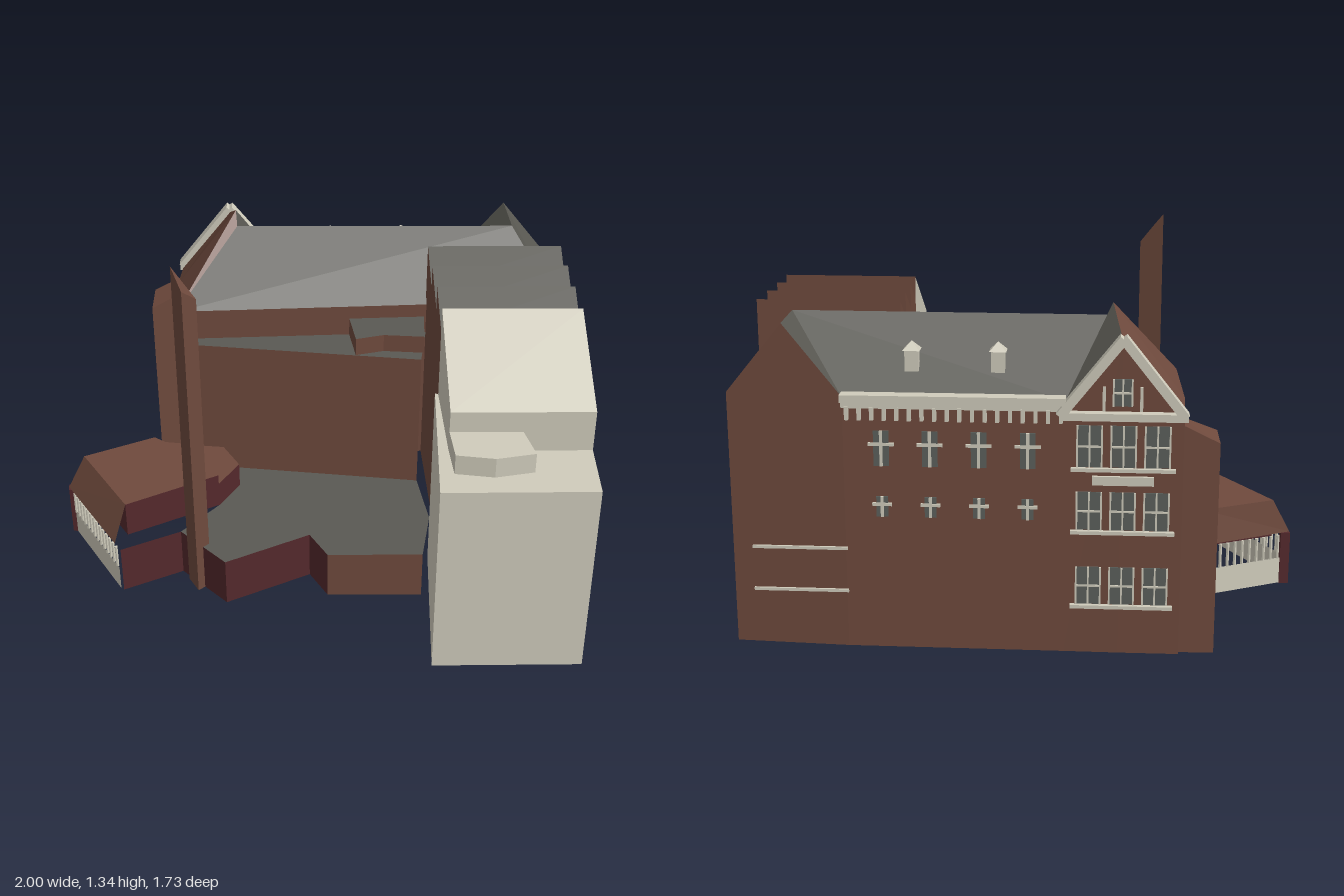
import * as THREE from 'three';

const mat = (name, hex) => {
  const m = new THREE.MeshStandardMaterial({ color: hex, side: THREE.DoubleSide, flatShading: true });
  m.name = name;
  return m;
};

export function createModel() {
  const brick = mat('brown brick', 0x6f4a3d);
  const cream = mat('cream stone', 0xd0ccbc);
  const slate = mat('grey slate', 0x5a5953);
  const red = mat('dark red brick', 0x54292c);
  const glass = mat('window glass', 0x5c605c);
  const model = new THREE.Group();

  const part = (name, geo, m, parent = model) => {
    const mesh = new THREE.Mesh(geo, m);
    mesh.name = name;
    parent.add(mesh);
    return mesh;
  };
  const fromTriangles = (pos) => {
    const g = new THREE.BufferGeometry();
    g.setAttribute('position', new THREE.Float32BufferAttribute(pos, 3));
    g.computeVertexNormals();
    return g;
  };
  // Walls along a plan line of [x, z, top]; base height y0
  const walls = (name, pts, y0, m) => {
    const pos = [];
    for (let i = 0; i < pts.length - 1; i++) {
      const [ax, az, at] = pts[i], [bx, bz, bt] = pts[i + 1];
      pos.push(ax, y0, az, bx, y0, bz, bx, bt, bz, ax, y0, az, bx, bt, bz, ax, at, az);
    }
    return part(name, fromTriangles(pos), m);
  };
  // Roof surface over a plan outline of [x, z, height], wound to face up
  const roof = (name, pts, m) => {
    let p = pts;
    const outline = (q) => q.map(([x, z]) => new THREE.Vector2(x, -z));
    if (THREE.ShapeUtils.isClockWise(outline(p))) p = [...p].reverse();
    const pos = [];
    for (const f of THREE.ShapeUtils.triangulateShape(outline(p), []))
      for (const i of f) pos.push(p[i][0], p[i][2], p[i][1]);
    return part(name, fromTriangles(pos), m);
  };
  const level = (pts, y) => pts.map(([x, z]) => [x, z, y]);
  const block = (name, pts, y0, y1, wallMat, roofMat) => {
    const p = level(pts, y1);
    walls(name + 'Walls', [...p, p[0]], y0, wallMat);
    roof(name + 'Roof', p, roofMat);
  };

  // Cream tower with low front step and sloping top
  const low = [[0.37, 0.17], [0.26, 0.78], [0.79, 0.85], [0.83, 0.61]];
  walls('towerLowWalls', level(low, 0.755), 0, cream);
  roof('towerTerrace', level([...low, [0.34, 0.54], [0.38, 0.18]], 0.755), cream);
  walls('towerRightWall', [[0.83, 0.61, 0.91], [0.87, 0.25, 1.11]], 0, cream);
  walls('towerUpperWalls', [[0.83, 0.61, 0.91], [0.34, 0.54, 0.91], [0.38, 0.18, 1.11]], 0.755, cream);
  walls('towerBackWall', [[0.38, 0.18, 1.11], [0.87, 0.25, 1.11]], 1.02, brick);
  roof('towerRoof', [[0.34, 0.54, 0.91], [0.83, 0.61, 0.91], [0.87, 0.25, 1.11], [0.38, 0.18, 1.11]], cream);
  block('roofBox', [[0.34, 0.54], [0.33, 0.68], [0.46, 0.72], [0.6, 0.71], [0.59, 0.575]], 0.755, 0.83, cream, cream);

  // Brown wing with sawtooth roof
  const right = (t, y) => [0.87 + 0.06 * t, 0.25 - 0.49 * t, y];
  const left = (t, y) => [0.38 + 0.05 * t, 0.18 - 0.49 * t, y];
  for (let i = 0; i < 3; i++) {
    const a = i / 3, b = (i + 1) / 3;
    walls('wingRightWall', [right(a, 1.02), right(b, 1.11)], 0, brick);
    walls('wingLeftWall', [left(a, 1.02), left(b, 1.11)], 0.19, brick);
    roof('sawtoothRoof', [right(a, 1.02), left(a, 1.02), left(b, 1.11), right(b, 1.11)], slate);
    walls('sawtoothFace', [right(b, 1.11), left(b, 1.11)], i < 2 ? 1.02 : 0.87, brick);
  }

  // Main hall: corners, ridge and gable points as [x, z, height]
  const E0 = [-0.53, -0.37, 0.87], E1 = [0.93, -0.24, 0.875], A = [1, -0.62, 0.875];
  const B = [0.81, -0.655, 1.11], C = [0.62, -0.69, 0.87], G = [-0.1, -0.785, 0.87];
  const Q = [-0.28, -0.81, 1.07], K = [-0.48, -0.835, 0.82], D = [-0.51, -0.66, 0.84];
  const R0 = [-0.27, -0.59, 1.11], R1 = [0.79, -0.44, 1.11], P = [-0.27, -0.63, 1.16];
  walls('hallWalls', [E1, A, B, C, G, Q, K, D, E0], 0, brick);
  walls('hallFrontWall', [E0, E1], 0.19, brick);
  roof('hallFrontRoof', [E0, E1, R1, R0], slate);
  roof('hallEndRoof', [E1, A, B], slate);
  roof('hallEndRoof', [E1, B, R1], slate);
  roof('hallBackRoof', [R1, B, C, G], slate);
  roof('hallBackRoof', [R1, G, R0], slate);
  roof('gableRightRoof', [G, Q, P], slate);
  roof('gableRightRoof', [G, P, R0], slate);
  roof('gableLeftRoof', [Q, K, D, P], brick);
  roof('leftEndRoof', [D, E0, P], brick);
  roof('leftEndRoof', [E0, R0, P], brick);

  // Corner stair tower
  const stair = [[-0.62, -0.67, 0.73], [-0.6, -0.83, 0.73], [-0.48, -0.82, 0.79], [-0.48, -0.69, 0.79]];
  walls('stairTowerWalls', [...stair, stair[0]], 0, brick);
  roof('stairTowerRoof', stair, brick);

  // Middle block in front of the hall
  const M0 = [-0.53, -0.33, 0.75], M1 = [0.37, -0.08, 0.75];
  walls('middleWall', [[-0.53, -0.37, 0.75], M0, M1], 0.19, brick);
  roof('middleRoof', [[-0.53, -0.37, 0.75], M0, M1, [0.43, -0.29, 0.75]], slate);
  block('middleStep', [[0.13, -0.31], [0.13, -0.15], [0.24, -0.165], [0.39, -0.13], [0.42, -0.29]], 0.75, 0.82, brick, slate);

  // Low podium
  const podium = [[-0.38, -0.29], [0.37, -0.08], [0.37, 0.17], [0.3, 0.39], [-0.05, 0.34], [-0.1, 0.21],
    [-0.43, 0.33], [-0.58, 0.12], [-0.42, -0.03], [-0.33, -0.15]];
  roof('podiumRoof', level(podium, 0.19), slate);
  walls('podiumFrontWall', level(podium.slice(3, 5), 0.19), 0, brick);
  walls('podiumWalls', level([...podium.slice(4), podium[0]], 0.19), 0, red);

  // Three-sided chimney with a slanted top
  const stack = [[-0.56, 0.17, 1.34], [-0.48, 0.21, 1.23], [-0.53, 0.245, 1.28]];
  walls('chimneyWalls', [...stack, stack[0]], 0, brick);
  roof('chimneyTop', stack, brick);

  // Pavilion: raised roof block, lean-to rim and garden walls
  block('pavilion', [[-0.93, -0.235], [-0.65, -0.33], [-0.61, -0.29], [-0.48, -0.25], [-0.42, -0.03], [-0.78, 0.11]], 0.19, 0.33, red, brick);
  block('pavilionPorch', [[-0.61, -0.29], [-0.53, -0.32], [-0.38, -0.28], [-0.33, -0.15], [-0.42, -0.03]], 0.19, 0.29, red, brick);
  roof('pavilionRim', [[-1, -0.22, 0.2], [-0.83, 0.17, 0.2], [-0.78, 0.11, 0.33], [-0.93, -0.235, 0.33]], brick);
  roof('pavilionBackRim', [[-1, -0.22, 0.2], [-0.93, -0.235, 0.33], [-0.65, -0.33, 0.33], [-0.64, -0.35, 0.2]], brick);
  walls('gardenWall', level([[-0.81, 0.2], [-0.58, 0.12]], 0.19), 0, red);
  const balustrade = (a, b, n) => {
    walls('balustradeBase', level([a, b], 0.1), 0, cream);
    for (let i = 0; i < n; i++) {
      const t = (i + 0.5) / n;
      const post = part('baluster', new THREE.CylinderGeometry(0.006, 0.006, 0.09, 6), cream);
      post.position.set(a[0] + (b[0] - a[0]) * t, 0.145, a[1] + (b[1] - a[1]) * t);
    }
  };
  balustrade([-0.985, -0.2], [-0.82, 0.19], 14);
  balustrade([-0.97, -0.225], [-0.65, -0.335], 11);
  block('cornerPost', [[-1, -0.235], [-1, -0.2], [-0.97, -0.19], [-0.965, -0.235]], 0, 0.2, red, red);
  block('wallPost', [[-0.66, -0.35], [-0.66, -0.31], [-0.62, -0.3], [-0.62, -0.35]], 0, 0.2, red, red);

  // Back facade details; local x runs from its right end, z points out of the wall
  const facade = new THREE.Group();
  facade.name = 'backFacadeDetails';
  facade.position.set(0, 0, -0.772);
  facade.rotation.y = Math.PI - 0.131;
  model.add(facade);
  const box = (name, x, y, z, w, h, d, m = cream, parent = facade) => {
    const b = part(name, new THREE.BoxGeometry(w, h, d), m, parent);
    b.position.set(x, y, z);
    return b;
  };
  // Window of thin glass and stone bars
  const barsWindow = (x, y, w, h, cols, rows, parent = facade) => {
    box('windowGlass', x, y, 0.003, w, h, 0.004, glass, parent);
    for (let i = 0; i <= cols; i++) box('mullion', x + w * (i / cols - 0.5), y, 0.006, 0.006, h, 0.008, cream, parent);
    for (let i = 1; i < rows; i++) box('transom', x, y + h * (i / rows - 0.5), 0.006, w, 0.006, 0.008, cream, parent);
  };
  const crossWindow = (x, y, w, h) => {
    box('windowGlass', x, y, 0.003, w * 0.6, h, 0.004, glass);
    box('crossPost', x, y, 0.006, 0.01, h, 0.008);
    box('crossBar', x, y + h * 0.12, 0.006, w, 0.01, 0.008);
  };
  box('cornice', -0.262, 0.875, 0.02, 0.73, 0.025, 0.05);
  box('corniceBand', -0.262, 0.85, 0.008, 0.73, 0.025, 0.02);
  for (let i = 0; i < 18; i++) box('bracket', -0.61 + i * 0.041, 0.82, 0.01, 0.012, 0.045, 0.02);
  for (const x of [-0.5, -0.34, -0.18, -0.02]) {
    crossWindow(x, 0.7, 0.085, 0.12);
    crossWindow(x, 0.5, 0.065, 0.07);
  }
  for (const y of [0.35, 0.2]) box('stringCourse', -0.78, y, 0.004, 0.32, 0.01, 0.008);

  // Gable bay
  for (const [y, h] of [[0.72, 0.14], [0.5, 0.13], [0.24, 0.13]]) {
    for (const x of [0.18, 0.29, 0.4]) barsWindow(x, y, 0.08, h, 2, 2);
    box('sill', 0.29, y - h / 2 - 0.008, 0.008, 0.34, 0.012, 0.016);
  }
  box('bayPanel', 0.29, 0.605, 0.006, 0.2, 0.03, 0.012);
  box('gableBase', 0.29, 0.825, 0.015, 0.41, 0.025, 0.04);
  for (const s of [-1, 1]) {
    const rake = box('gableTrim', 0.285 + s * 0.1, 0.955, 0.02, 0.325, 0.03, 0.05);
    rake.rotation.z = -s * 0.9;
    box('gablePost', 0.285 + s * 0.06, 0.88, 0.006, 0.01, 0.08, 0.01);
  }
  barsWindow(0.285, 0.9, 0.06, 0.09, 2, 2);

  // Roof vents on the back slope
  for (const [x, z] of [[0.11, -0.68], [0.39, -0.645]]) {
    const vent = new THREE.Group();
    vent.name = 'roofVent';
    vent.position.set(x, 0.98, z);
    vent.rotation.y = -0.131;
    model.add(vent);
    box('ventBody', 0, 0, 0, 0.045, 0.07, 0.04, cream, vent);
    const cap = part('ventCap', new THREE.ConeGeometry(0.04, 0.03, 4), cream, vent);
    cap.position.y = 0.05;
    cap.rotation.y = Math.PI / 4;
  }

  // Windows on the left end wall
  const side = new THREE.Group();
  side.name = 'leftEndWindows';
  side.position.set(-0.52, 0, -0.515);
  side.rotation.y = -Math.PI / 2 + 0.07;
  model.add(side);
  for (const y of [0.7, 0.48, 0.26]) for (const x of [-0.08, 0.02, 0.11]) barsWindow(x, y, 0.035, 0.08, 2, 2, side);
  return model;
}
